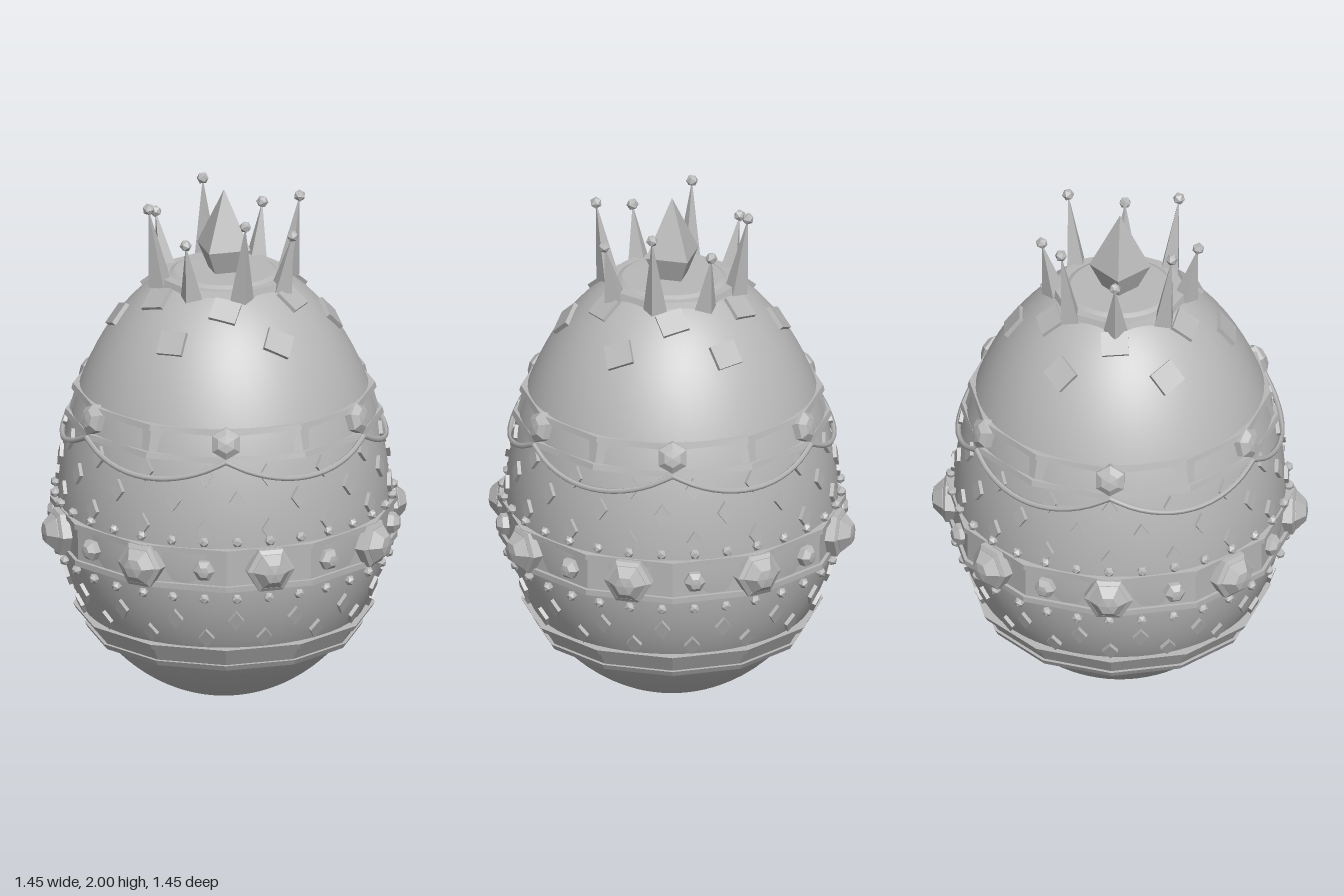
import * as THREE from 'three';

const grey = new THREE.MeshStandardMaterial({ color: 0xb8b8b8 });
grey.name = 'stoneGrey';

// Egg radius at a height: two half ellipses meeting at the widest line
const WIDEST = 0.72, TOP = 1.675;
const eggRadius = (y) => 0.64 * Math.sqrt(1 - ((y - WIDEST) / (y < WIDEST ? 0.75 : 1)) ** 2);
const eggTilt = (y) => Math.atan((eggRadius(y - 0.01) - eggRadius(y + 0.01)) / 0.02);

const points = (list) => list.map(([x, y]) => new THREE.Vector2(x, y));

// Give a geometry hard facets
function faceted(geometry) {
  const flat = geometry.index ? geometry.toNonIndexed() : geometry;
  flat.computeVertexNormals();
  return flat;
}

function add(parent, name, geometry) {
  const mesh = new THREE.Mesh(geometry, grey);
  mesh.name = name;
  parent.add(mesh);
  return mesh;
}

// Cut stone facing +z, from a [radius, depth] profile
function stone(profile, sides, turn = 0) {
  return faceted(new THREE.LatheGeometry(points(profile), sides).rotateX(Math.PI / 2).rotateZ(turn));
}

// Evenly spaced pieces around the egg, facing outward along the surface
function ring(parent, name, geometry, { count, y, start = 0, lift = 0, tilt = eggTilt(y), radius = eggRadius(y), spin = () => 0 }) {
  const group = new THREE.Group();
  group.name = name + 'Ring';
  for (let i = 0; i < count; i++) {
    const a = ((start + i) / count) * Math.PI * 2;
    const r = radius + lift;
    const mesh = add(group, name, geometry);
    mesh.position.set(Math.sin(a) * r, y, Math.cos(a) * r);
    mesh.rotation.set(-tilt, a, spin(i), 'YXZ');
  }
  parent.add(group);
}

// Twelve-sided band with a raised rail along each edge
function band(parent, name, y0, r0, y1, r1) {
  const w = 0.022, out = 0.014, s = (r1 - r0) / (y1 - y0) * w;
  const profile = points([
    [r0 - 0.06, y0], [r0 + out, y0], [r0 + out + s, y0 + w], [r0 + s, y0 + w],
    [r1 - s, y1 - w], [r1 + out - s, y1 - w], [r1 + out, y1], [r1 - 0.06, y1],
  ]);
  add(parent, name, faceted(new THREE.LatheGeometry(profile, 12)));
}

export function createModel() {
  const model = new THREE.Group();
  model.name = 'jewelledEgg';

  // Egg shell, flat at both ends
  const shell = [[0, 0]];
  const N = 48;
  for (let i = 0; i <= N; i++) {
    const y = TOP * (1 - Math.cos((i / N) * Math.PI)) / 2;
    shell.push([eggRadius(y), y]);
  }
  shell.push([0, TOP]);
  add(model, 'eggShell', new THREE.LatheGeometry(points(shell), 64));

  // Bands
  band(model, 'lowerBand', 0.22, 0.51, 0.32, 0.568);
  band(model, 'middleBand', 0.585, 0.654, 0.755, 0.656);
  band(model, 'upperBand', 1.09, 0.602, 1.215, 0.568);

  // Stones on the middle band
  const bezel = stone([[0, -0.03], [0.095, -0.03], [0.095, 0.02], [0.078, 0.03], [0, 0.03]], 6, Math.PI / 6);
  const largeGem = stone([[0.076, 0], [0.076, 0.032], [0.04, 0.07], [0, 0.076]], 6, Math.PI / 6);
  const smallGem = stone([[0.042, -0.03], [0.042, 0.012], [0.022, 0.032], [0, 0.034]], 6, Math.PI / 6);
  const middle = { count: 8, y: 0.67, tilt: 0, radius: 0.65 };
  ring(model, 'gemBezel', bezel, middle);
  ring(model, 'largeGem', largeGem, middle);
  ring(model, 'smallGem', smallGem, { ...middle, start: 0.5 });

  // Pearl rows above and below the middle band
  const pearl = faceted(new THREE.IcosahedronGeometry(0.021, 0));
  for (const y of [0.785, 0.55]) ring(model, 'pearl', pearl, { count: 32, y, lift: 0.014 });

  // Stones on the upper band
  const ovalGem = stone([[0.062, -0.03], [0.062, 0.014], [0.036, 0.034], [0, 0.038]], 6);
  ring(model, 'upperGem', ovalGem, { count: 6, y: 1.165, start: 0.5, radius: 0.585, tilt: 0.25 });
  model.getObjectByName('upperGemRing').rotation.y = 0;

  // Hanging swags between the upper stones
  const swags = new THREE.Group();
  swags.name = 'swags';
  for (let k = 0; k < 6; k++) {
    const path = [];
    for (let i = 0; i <= 8; i++) {
      const t = i / 8, a = (k - 0.5 + t) * Math.PI / 3;
      const y = 1.1 - 0.085 * (1 - (2 * t - 1) ** 2);
      const r = eggRadius(y) + 0.012 + (y - 1.015) * 0.15;
      path.push(new THREE.Vector3(Math.sin(a) * r, y, Math.cos(a) * r));
    }
    add(swags, 'swag', new THREE.TubeGeometry(new THREE.CatmullRomCurve3(path), 16, 0.011, 5));
  }
  model.add(swags);

  // Small lozenges in staggered rows
  const lozenge = faceted(new THREE.CylinderGeometry(0.03, 0.03, 0.02, 4).rotateX(Math.PI / 2).scale(1, 1.45, 1));
  for (const [y, start] of [[1.04, 0], [0.94, 0.5], [0.83, 0], [0.45, 0.5], [0.37, 0]])
    ring(model, 'lozenge', lozenge, { count: 16, y, start, lift: 0.004 });

  // Loose square tiles near the top
  const tile = new THREE.BoxGeometry(0.105, 0.095, 0.018);
  ring(model, 'tile', tile, { count: 6, y: 1.495, lift: 0.006, spin: (i) => [0.08, -0.6, 0.5, 0.1, -0.5, 0.4][i] });
  ring(model, 'tile', tile, { count: 6, y: 1.605, start: 0.5, lift: 0.003, spin: (i) => [-0.3, 0.05, 0.35, -0.3, 0.1, 0.4][i] });

  // Crown: base ring, leaning spikes tipped with beads, centre jewel
  const crown = new THREE.Group();
  crown.name = 'crown';
  add(crown, 'crownBase', faceted(new THREE.CylinderGeometry(0.26, 0.275, 0.045, 8))).position.y = 1.642;
  const bead = faceted(new THREE.IcosahedronGeometry(0.024, 0));
  for (let i = 0; i < 8; i++) {
    const height = i % 2 ? 0.315 : 0.23;
    const spike = new THREE.Group();
    spike.name = 'crownSpike';
    spike.position.set(Math.sin(i * Math.PI / 4) * 0.255, 1.635, Math.cos(i * Math.PI / 4) * 0.255);
    spike.rotation.set(Math.atan(0.048 / height), i * Math.PI / 4, 0, 'YXZ');
    add(spike, 'spike', faceted(new THREE.ConeGeometry(0.047, height, 4))).position.y = height / 2;
    add(spike, 'spikeBead', bead).position.y = height;
    crown.add(spike);
  }
  const jewel = faceted(new THREE.OctahedronGeometry(1, 0).scale(0.118, 0.23, 0.118));
  add(crown, 'centreJewel', jewel).position.y = 1.77;
  model.add(crown);

  return model;
}
